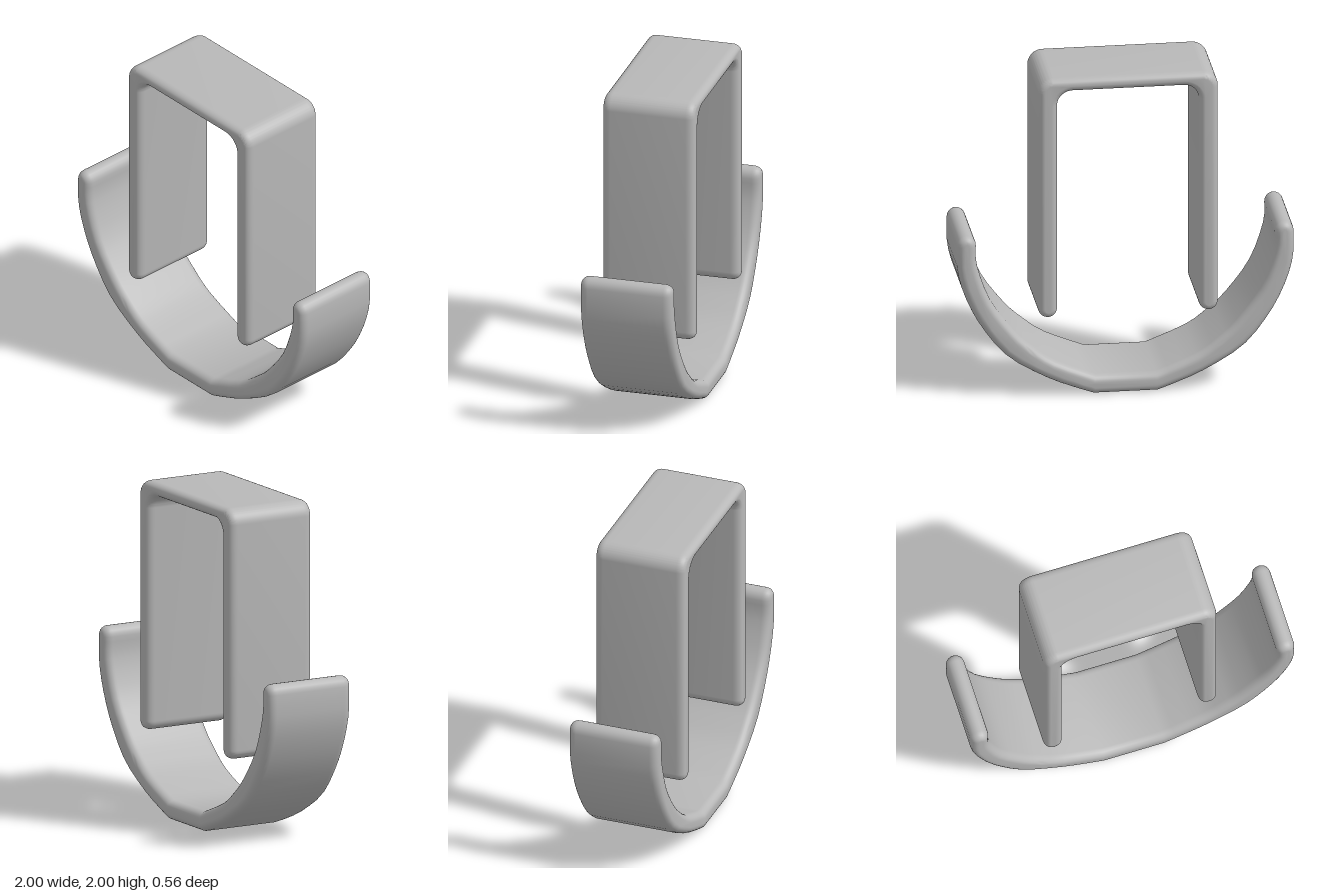
import * as THREE from 'three';
import { toCreasedNormals } from 'three/addons/utils/BufferGeometryUtils.js';

const grey = new THREE.MeshStandardMaterial({ color: 0xb8b8b8 });
grey.name = 'plain grey';

const WIDTH = 0.56;

// Extrudes a front outline along z with rounded edges that stay inside it
function band(name, shape, edge, edgeDepth) {
  const depth = WIDTH - 2 * edgeDepth;
  const geo = new THREE.ExtrudeGeometry(shape, {
    depth, curveSegments: 10, bevelEnabled: true, bevelSegments: 6,
    bevelSize: edge, bevelOffset: -edge, bevelThickness: edgeDepth,
  });
  geo.translate(0, 0, -depth / 2);
  const mesh = new THREE.Mesh(toCreasedNormals(geo, 0.7), grey);
  mesh.name = name;
  return mesh;
}

// Upside-down U with round leg tips and rounded corners
function bracketShape() {
  const [xo, xi, leg, top, under, foot] = [0.533, 0.42, 0.0565, 2, 1.92, 0.497];
  const ro = 0.09, ri = 0.09, P = Math.PI;
  const s = new THREE.Shape();
  s.moveTo(xo, foot + leg);
  s.absarc(xo - ro, top - ro, ro, 0, P / 2, false);
  s.absarc(-xo + ro, top - ro, ro, P / 2, P, false);
  s.absarc(-xo + leg, foot + leg, leg, P, 2 * P, false);
  s.absarc(-xi + ri, under - ri, ri, P, P / 2, true);
  s.absarc(xi - ri, under - ri, ri, P / 2, 0, true);
  s.absarc(xo - leg, foot + leg, leg, P, 2 * P, false);
  return s;
}

// Right half of the bowl-like strip, from tip to flat bottom
const smooth = (pts) =>
  new THREE.SplineCurve(pts.map(([x, y]) => new THREE.Vector2(x, y))).getPoints(18);

function cradleShape() {
  const outer = smooth([[0.998, 0.97], [0.994, 0.80], [0.94, 0.62], [0.845, 0.44],
    [0.695, 0.257], [0.47, 0.118], [0.3, 0.045], [0.19, 0.005]]);
  const inner = smooth([[0.887, 0.97], [0.88, 0.84], [0.80, 0.615], [0.66, 0.42],
    [0.55, 0.315], [0.417, 0.22], [0.18, 0.122]]);
  const tip = [];
  for (let i = 1; i < 10; i++) {
    const a = Math.PI * i / 10;
    tip.push(new THREE.Vector2(0.9425 + 0.0555 * Math.cos(a), 0.97 + 0.06 * Math.sin(a)));
  }
  // bottom -> outer edge -> tip -> inner edge, then mirrored back round
  const half = [...outer.reverse(), ...tip, ...inner];
  const mirrored = half.map((p) => new THREE.Vector2(-p.x, p.y)).reverse();
  return new THREE.Shape([...half, ...mirrored]);
}

export function createModel() {
  const model = new THREE.Group();
  model.name = 'clip';

  const bracket = band('uprightBracket', bracketShape(), 0.036, 0.05);
  bracket.position.x = -0.015;
  const cradle = band('curvedCradle', cradleShape(), 0.042, 0.05);

  model.add(bracket, cradle);
  return model;
}
